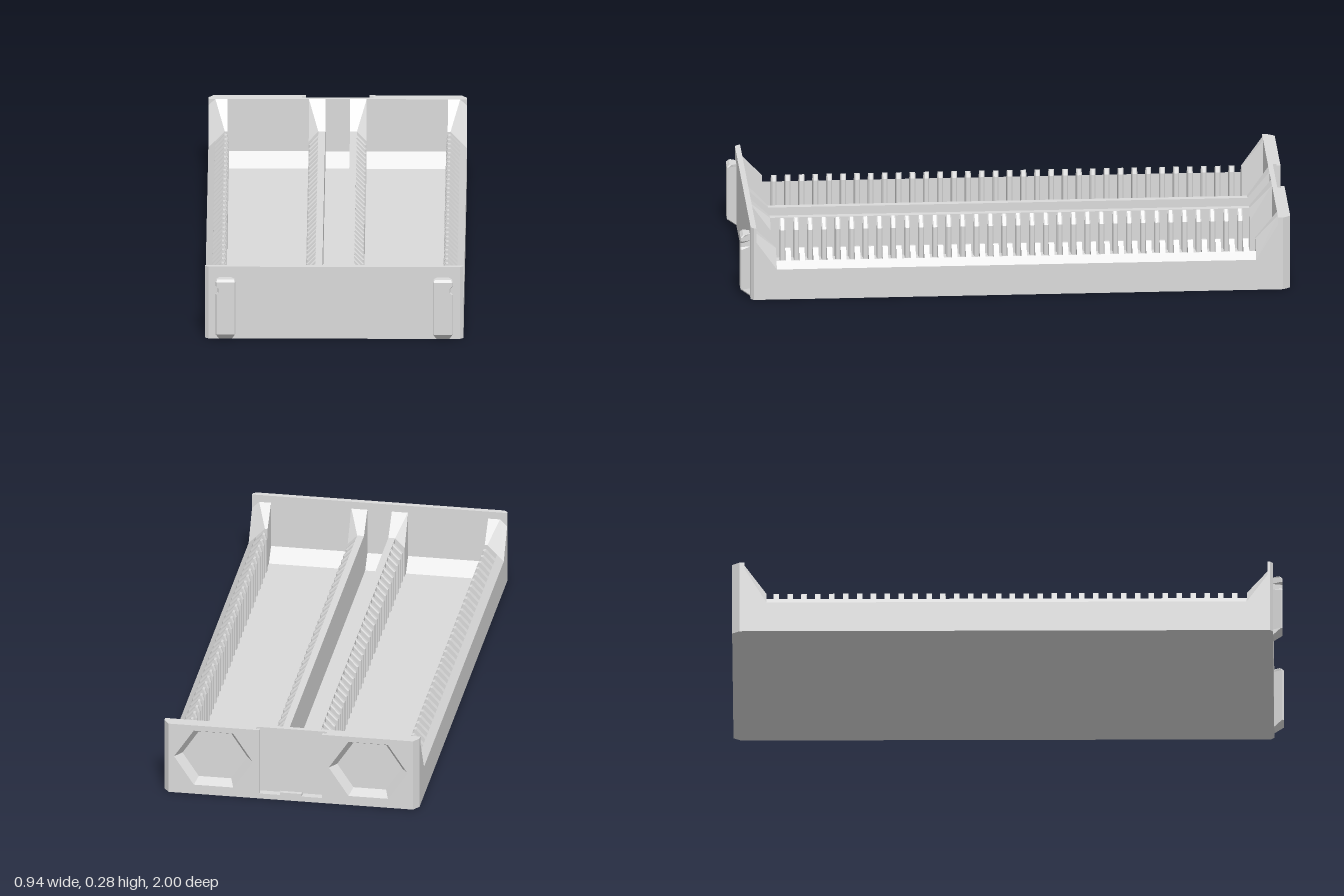
import * as THREE from 'three';

const plastic = new THREE.MeshStandardMaterial({ color: 0xdadada });
plastic.name = 'light grey plastic';

// Solid skinned through matching convex cross-sections; always faces outwards
function loft(sections) {
  const n = sections[0].length, pos = sections.flat(2), idx = [];
  for (let s = 0; s < sections.length - 1; s++) {
    for (let i = 0; i < n; i++) {
      const a = s * n + i, b = s * n + (i + 1) % n;
      idx.push(a, b, b + n, a, b + n, a + n);
    }
  }
  const last = (sections.length - 1) * n;
  for (let i = 1; i < n - 1; i++) idx.push(0, i + 1, i, last, last + i, last + i + 1);
  const p = (i) => new THREE.Vector3().fromArray(pos, i * 3);
  let volume = 0;
  for (let i = 0; i < idx.length; i += 3) volume += p(idx[i]).dot(p(idx[i + 1]).cross(p(idx[i + 2])));
  if (volume < 0) idx.reverse();
  const g = new THREE.BufferGeometry();
  g.setAttribute('position', new THREE.Float32BufferAttribute(pos, 3));
  g.setIndex(idx);
  const flat = g.toNonIndexed();
  flat.computeVertexNormals();
  return flat;
}

const atY = (plan, y) => plan.map(([x, z]) => [x, y, z]);
const atZ = (profile, z) => profile.map(([x, y]) => [x, y, z]);
const atX = (profile, x) => profile.map(([z, y]) => [x, y, z]);
const mirror = (points, s) => points.map(([x, y]) => [x * s, y]);

const TOP = 0.275, FLOOR = 0.025, RIB = 0.177;
const HEX = { x: 0.285, y: 0.145, r: 0.145, squash: 0.866 };

// Upright panel with two hexagonal holes and an optional slot open at the top
function panel(halfWidth, slot, depth) {
  const w = halfWidth;
  const pts = [[-w, 0], [w, 0], [w, TOP]];
  if (slot) pts.push([slot, TOP], [slot, 0.02], [-slot, 0.02], [-slot, TOP]);
  pts.push([-w, TOP]);
  const shape = new THREE.Shape(pts.map(([x, y]) => new THREE.Vector2(x, y)));
  for (const s of [-1, 1]) {
    const hole = [];
    for (let i = 0; i < 6; i++) {
      const a = -i * Math.PI / 3;
      hole.push(new THREE.Vector2(s * HEX.x + HEX.r * Math.cos(a), HEX.y + HEX.r * HEX.squash * Math.sin(a)));
    }
    shape.holes.push(new THREE.Path(hole));
  }
  return new THREE.ExtrudeGeometry(shape, { depth, bevelEnabled: false });
}

export function createModel() {
  const model = new THREE.Group();
  model.name = 'slottedTray';
  const add = (name, geometry, x = 0, y = 0, z = 0, parent = model) => {
    const m = new THREE.Mesh(geometry, plastic);
    m.name = name;
    m.position.set(x, y, z);
    parent.add(m);
  };
  const box = (name, x0, x1, y0, y1, z0, z1) =>
    add(name, new THREE.BoxGeometry(x1 - x0, y1 - y0, z1 - z0), (x0 + x1) / 2, (y0 + y1) / 2, (z0 + z1) / 2);

  // Floor and front wall with clipped corners
  box('floor', -0.47, 0.47, 0, FLOOR, -0.955, 0.95);
  const frontPlan = [[-0.47, 0.945], [0.47, 0.945], [0.47, 0.954], [0.457, 0.965], [-0.457, 0.965], [-0.47, 0.954]];
  add('frontWall', loft([atY(frontPlan, 0), atY(frontPlan, TOP)]));

  // Back wall in layers: slot mouth, undercut slot, pocket layer, solid inner skin
  add('backOuterLayer', panel(0.445, 0.115, 0.014), 0, 0, -1);
  add('backSlotLayer', panel(0.445, 0.13, 0.013), 0, 0, -0.986);
  add('backPocketLayer', panel(0.47, 0, 0.01), 0, 0, -0.973);
  box('backInnerSkin', -0.47, 0.47, 0, TOP, -0.963, -0.955);
  box('slotTab', -0.04, 0.04, 0.02, 0.03, -1, -0.985);

  // Sloped fillets where the end walls meet the floor
  for (const [name, wall, foot] of [['frontFillet', 0.947, 0.897], ['backFillet', -0.955, -0.905]]) {
    const profile = [[wall, FLOOR - 0.01], [wall, FLOOR + 0.05], [foot, FLOOR], [foot, FLOOR - 0.01]];
    add(name, loft([atX(profile, -0.45), atX(profile, 0.45)]));
  }

  // Ribs as [root, tip, height] steps: outer ones carry on the wall's bevel, centre ones slope off the divider
  const ribPlan = (root, tip) => {
    const neck = tip + Math.sign(root - tip) * 0.005;
    return [[root, -0.01], [neck, -0.01], [tip, -0.006], [tip, 0.006], [neck, 0.01], [root, 0.01]];
  };
  const ribs = {
    outerRib: [[0.447, 0.395, FLOOR], [0.447, 0.395, 0.138], [0.429, 0.395, 0.157], [0.411, 0.402, RIB]],
    centreRib: [[0.055, 0.105, FLOOR], [0.055, 0.105, 0.14], [0.055, 0.071, RIB - 0.001]],
  };

  for (const s of [-1, 1]) {
    const side = s > 0 ? 'left' : 'right';

    // Outer wall with bevelled top edge, and central divider
    const wall = mirror([[0.47, 0], [0.47, 0.115], [0.445, 0.14], [0.445, 0]], s);
    add(side + 'OuterWall', loft([atZ(wall, -0.955), atZ(wall, 0.95)]));
    const divider = mirror([[0.07, 0.01], [0.07, RIB], [0.045, RIB], [0.045, 0.01]], s);
    add(side + 'Divider', loft([atZ(divider, -0.955), atZ(divider, 0.95)]));

    // Sloped posts bracing the end walls, blending from the rib profile
    for (const [end, zWall, zFoot, h] of [['Front', 0.948, 0.87, 0.25], ['Back', -0.955, -0.875, TOP]]) {
      const corner = (shoulder, x, y) => mirror([[0.47, 0], [0.47, shoulder], [x, y], [0.4, y], [0.4, 0]], s);
      add(side + end + 'CornerPost', loft([atZ(corner(0.115, 0.41, RIB), zFoot), atZ(corner(h - 0.025, 0.445, h), zWall)]));
      const inner = (y, shoulder) => mirror([[0.045, 0.01], [0.045, y], [0.07, y], [0.105, shoulder], [0.105, 0.01]], s);
      add(side + end + 'CentrePost', loft([atZ(inner(RIB, 0.14), zFoot), atZ(inner(h, h), zWall)]));
    }

    // Rows of evenly spaced ribs
    for (const [name, steps] of Object.entries(ribs)) {
      const row = new THREE.Group();
      row.name = side + name + 'Row';
      model.add(row);
      const g = loft(steps.map(([root, tip, y]) => atY(mirror(ribPlan(root, tip), s), y)));
      for (let i = 0; i < 34; i++) add(name, g, 0, 0, -0.84 + i * 0.0505, row);
    }

    // Back corner chamfer and the tapered hexagonal pocket lining
    const chamfer = mirror([[0.445, -1], [0.45, -1], [0.47, -0.973], [0.445, -0.973]], s);
    add(side + 'BackChamfer', loft([atY(chamfer, 0), atY(chamfer, TOP)]));
    const lining = new THREE.CylinderGeometry(HEX.r, HEX.r - 0.025, 0.037, 6, 1, true, Math.PI / 2);
    lining.rotateX(-Math.PI / 2);
    lining.scale(1, HEX.squash, 1);
    lining.index.array.reverse();
    const flatLining = lining.toNonIndexed();
    flatLining.computeVertexNormals();
    add(side + 'PocketLining', flatLining, s * HEX.x, HEX.y, -0.9815);

    // Flared front clip, with a small notch in its outer edge
    const clip = [
      [0, 0.025, 0.967, 0], [0.027, 0.036, 1, 0], [0.18, 0.036, 1, 0], [0.188, 0.036, 1, 0.008],
      [0.203, 0.036, 1, 0.008], [0.211, 0.036, 1, 0], [0.226, 0.036, 1, 0], [0.235, 0.033, 0.99, 0],
    ].map(([y, w, z, notch]) => {
      const c = 0.395, out = c + w - notch;
      const plan = [[c - 0.019, 0.96], [c - w, z - 0.006], [c - w + 0.003, z], [out - 0.003, z], [out, z - 0.006], [c + 0.019, 0.96]];
      return atY(mirror(plan, s), y);
    });
    add(side + 'FrontClip', loft(clip));
  }
  return model;
}
